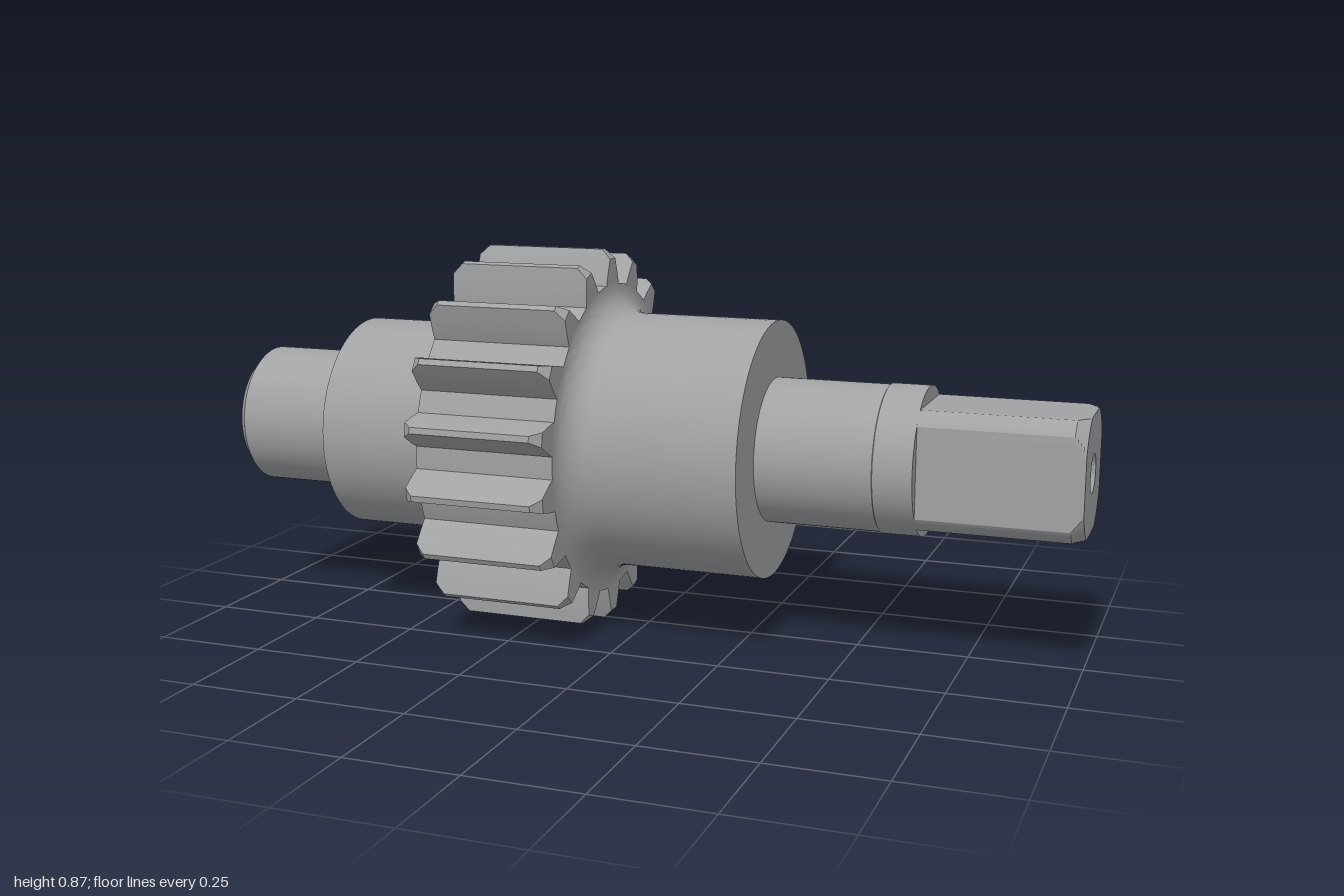
import * as THREE from 'three';
import { toCreasedNormals } from 'three/addons/utils/BufferGeometryUtils.js';

const AXIS_Y = 0.436;
const SEGMENTS = 96;

// Turned part: profile of [x, radius] pairs running towards +x
function turned(profile) {
  const points = profile.map(([x, r]) => new THREE.Vector2(r, x));
  const geometry = new THREE.LatheGeometry(points, SEGMENTS).rotateZ(-Math.PI / 2);
  return toCreasedNormals(geometry, 0.5);
}

// Skin over sections along x; each section is a list of [y, z] with equal length
function loft(sections) {
  const out = [];
  const tri = new THREE.Triangle();
  const add = (a, b, c) => {
    tri.set(a, b, c);
    if (tri.getArea() > 1e-9) for (const p of [a, b, c]) out.push(p.x, p.y, p.z);
  };
  const rings = sections.map(([x, ring]) => ring.map(([y, z]) => new THREE.Vector3(x, y, z)));
  for (let i = 0; i < rings.length - 1; i++) {
    const a = rings[i], b = rings[i + 1], n = a.length;
    for (let j = 0; j < n; j++) {
      const k = (j + 1) % n;
      add(a[j], a[k], b[j]);
      add(a[k], b[k], b[j]);
    }
  }
  const geometry = new THREE.BufferGeometry();
  geometry.setAttribute('position', new THREE.Float32BufferAttribute(out, 3));
  return toCreasedNormals(geometry, 0.5);
}

// Concave quarter-circle between a hub and a gear face; side is the hub's direction
function fillet(faceX, hubRadius, size, side) {
  const points = [];
  for (let i = 0; i <= 10; i++) {
    const a = (i / 10) * Math.PI / 2;
    points.push([faceX + side * size * (1 - Math.cos(a)), hubRadius + size * (1 - Math.sin(a))]);
  }
  return side > 0 ? points : points.reverse();
}

// Gear outline with its tooth tips limited to maxRadius
function gearRing(maxRadius) {
  const teeth = 18;
  const flank = [[0.357, 0.037], [0.38, 0.03], [0.4, 0.022], [0.415, 0.016], [0.436, 0.007]];
  const ring = [];
  for (let t = 0; t < teeth; t++) {
    const centre = (t / teeth) * Math.PI * 2;
    const put = ([r, half], side) => {
      const a = centre + side * Math.asin(half / r);
      ring.push([r * Math.cos(a), r * Math.sin(a)]);
    };
    const limited = flank.map((p) => (p[0] > maxRadius ? flank[3] : p));
    limited.forEach((p) => put(p, -1));
    [...limited].reverse().forEach((p) => put(p, 1));
    // middle of the gap between two teeth
    const gap = centre + Math.PI / teeth;
    ring.push([0.357 * Math.cos(gap), 0.357 * Math.sin(gap)]);
  }
  return ring;
}

// Circle cut by four flats
function squaredRing(radius, flat = 0.131) {
  const ring = [];
  for (let i = 0; i < 144; i++) {
    const a = (i / 144) * Math.PI * 2;
    const c = Math.cos(a), s = Math.sin(a);
    const r = Math.min(radius, flat / Math.max(Math.abs(c), Math.abs(s)));
    ring.push([r * c, r * s]);
  }
  return ring;
}

export function createModel() {
  const model = new THREE.Group();
  model.name = 'pinionShaft';
  const steel = new THREE.MeshStandardMaterial({ color: 0xa0a2a4 });
  steel.name = 'steel grey';

  const add = (name, geometry) => {
    const mesh = new THREE.Mesh(geometry, steel);
    mesh.name = name;
    mesh.position.y = AXIS_Y;
    model.add(mesh);
  };

  // Short journal with chamfered end and centre hole
  add('shortJournal', turned([
    [-0.93, 0], [-0.945, 0.022], [-0.963, 0.022], [-1, 0.043],
    [-1, 0.143], [-0.98, 0.163], [-0.71, 0.163],
  ]));

  // Hubs on both sides of the gear, each with a fillet
  add('smallHub', turned([
    [-0.715, 0.1], [-0.715, 0.247], ...fillet(-0.415, 0.247, 0.075, -1),
  ]));
  add('largeHub', turned([
    ...fillet(-0.09, 0.291, 0.064, 1), [0.3, 0.291], [0.3, 0.1],
  ]));

  // Gear with tip chamfers at both faces
  const centre = gearRing(1).map(() => [0, 0]);
  add('gear', loft([
    [-0.415, centre], [-0.415, gearRing(0.415)], [-0.393, gearRing(1)],
    [-0.112, gearRing(1)], [-0.09, gearRing(0.415)], [-0.09, centre],
  ]));

  // Long journal, slightly larger next to the drive end
  add('longJournal', turned([
    [0.29, 0.163], [0.56, 0.163], [0.562, 0.166], [0.648, 0.166], [0.648, 0.05],
  ]));

  // Squared drive end with chamfered corners and centre hole
  const chamfer = [0, 0.25, 0.5, 0.75, 1].map((t) => [0.975 + 0.025 * t, squaredRing(0.166 - 0.02 * t)]);
  add('squareDrive', loft([
    [0.64, squaredRing(0.166)], ...chamfer,
    [1, squaredRing(0.043)], [0.963, squaredRing(0.022)],
    [0.945, squaredRing(0.022)], [0.93, squaredRing(0)],
  ]));

  return model;
}
